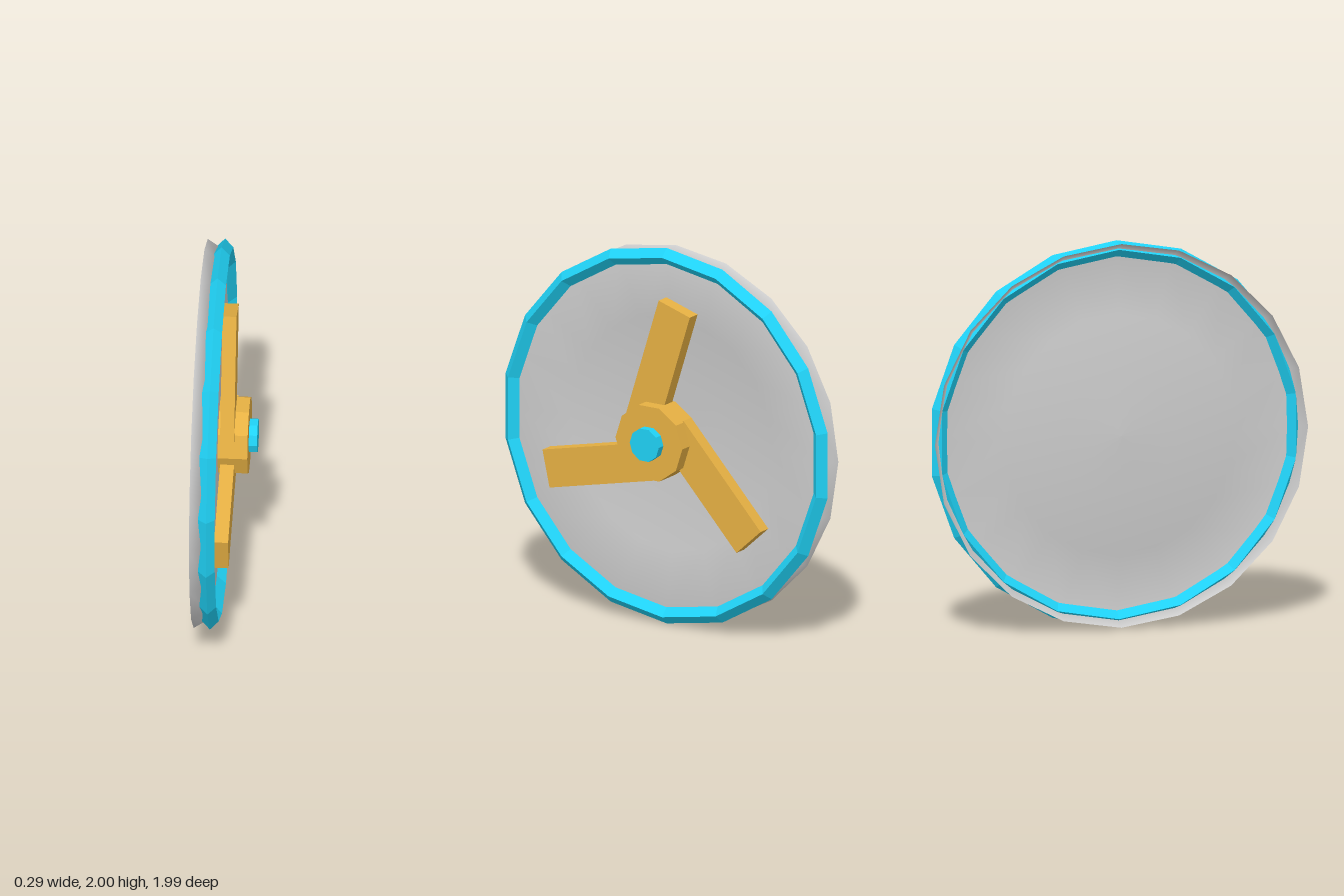
import * as THREE from 'three';

const GREY = 0xcccccc, GOLD = 0xe6b043, CYAN = 0x20d2f6;

export function createModel() {
  const model = new THREE.Group();
  const wheel = new THREE.Group();
  wheel.name = 'shield';
  wheel.position.y = 1;
  model.add(wheel);

  const add = (parent, name, geometry, color, options = {}) => {
    const material = new THREE.MeshStandardMaterial({ color, ...options });
    const mesh = new THREE.Mesh(geometry, material);
    mesh.name = name;
    parent.add(mesh);
    return mesh;
  };

  // Faceted disc lying across the x axis between two x positions
  const disc = (radius, x0, x1, sides) =>
    new THREE.CylinderGeometry(radius, radius, x1 - x0, sides)
      .rotateZ(-Math.PI / 2).translate((x0 + x1) / 2, 0, 0);

  // Dished face folding at the rim into a skirt that flares out behind, as [radius, x]
  const profile = [[0, -0.147], [0.3, -0.138], [0.62, -0.11], [0.94, -0.062], [0.993, -0.148]]
    .map(([r, x]) => new THREE.Vector2(r, x));
  const dish = new THREE.LatheGeometry(profile, 20).rotateZ(-Math.PI / 2);
  add(wheel, 'dish', dish, GREY, { side: THREE.DoubleSide });

  // Diamond-section rim
  const rim = new THREE.TorusGeometry(0.956, 0.043, 4, 18).rotateZ(Math.PI / 2).rotateY(Math.PI / 2);
  rim.translate(-0.062, 0, 0);
  add(wheel, 'rim', rim, CYAN, { flatShading: true });

  // Three blades set off-centre around the hub
  for (let i = 0; i < 3; i++) {
    const arm = new THREE.Group();
    arm.name = 'blade' + (i + 1);
    arm.rotation.x = THREE.MathUtils.degToRad(-17.5 + 120 * i);
    const blade = add(arm, 'bladeBar', new THREE.BoxGeometry(0.072, 0.697, 0.2), GOLD, { flatShading: true });
    blade.position.set(-0.002, 0.366, 0.11);
    wheel.add(arm);
  }

  // Hub and its cap
  add(wheel, 'hub', disc(0.204, -0.05, 0.102, 10), GOLD, { flatShading: true });
  add(wheel, 'hubCap', disc(0.089, 0.09, 0.145, 10), CYAN, { flatShading: true });

  return model;
}
